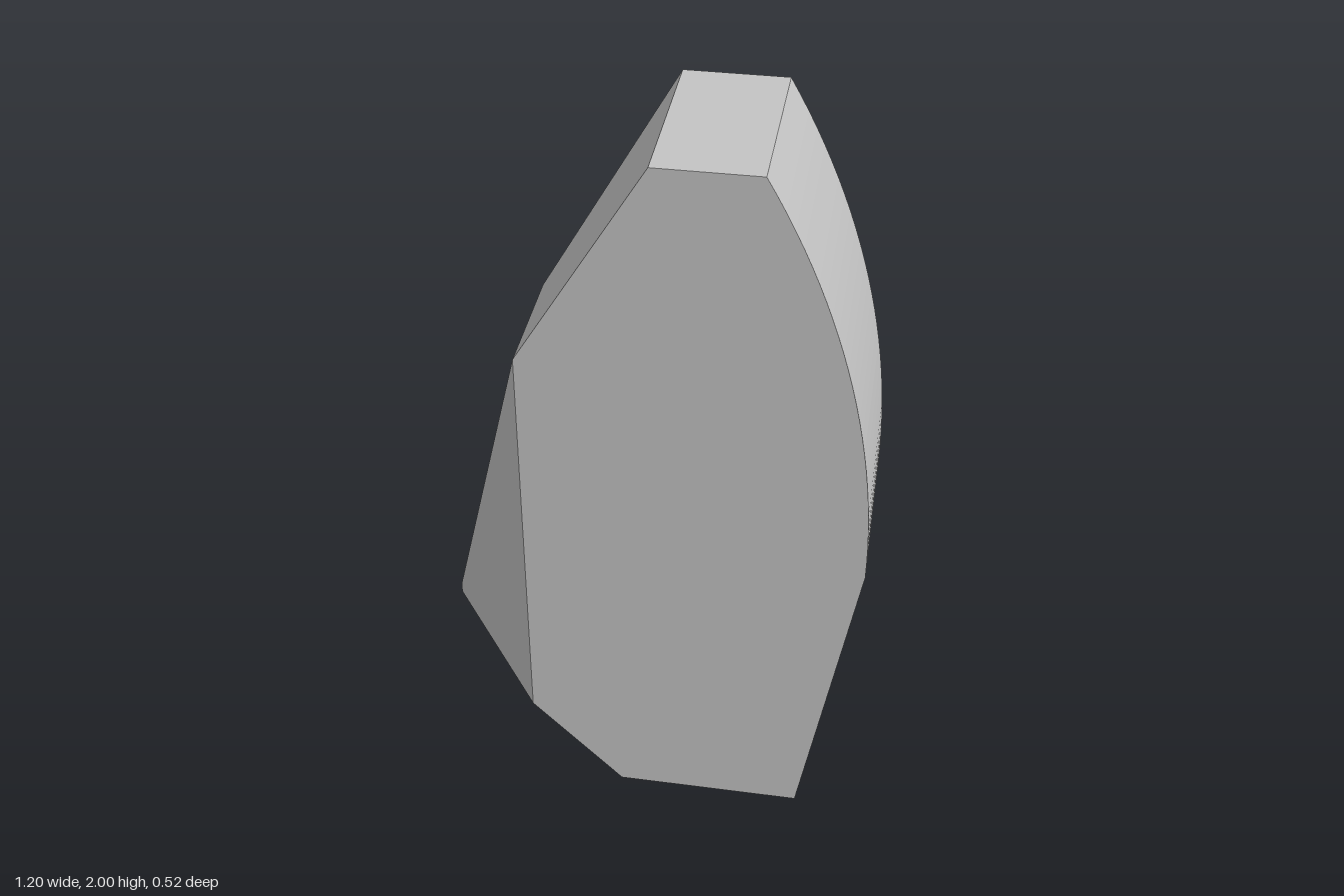
import * as THREE from 'three';
import { ConvexGeometry } from 'three/addons/geometries/ConvexGeometry.js';

const FRONT = 0.26, BACK = -0.26;

export function createModel() {
  const group = new THREE.Group();
  group.name = 'facetedStone';
  const stoneGrey = new THREE.MeshStandardMaterial({ color: 0xc4c4c4 });
  stoneGrey.name = 'stone grey';

  const points = [];
  const add = (x, y, ...depths) => depths.forEach((z) => points.push(new THREE.Vector3(x, y, z)));

  // Curved right edge, a shallow arc running the full depth
  const radius = 2.17, centreY = 0.9, steps = 24;
  const low = Math.asin((0.86 - centreY) / radius);
  const high = Math.asin((2 - centreY) / radius);
  for (let i = 0; i <= steps; i++) {
    const a = low + (high - low) * i / steps;
    add(0.6 - radius * (1 - Math.cos(a)), centreY + radius * Math.sin(a), FRONT, BACK);
  }

  // Flat top and upper left shoulder, with its bevelled back corner
  add(0.03, 2, FRONT, BACK);
  add(-0.31, 1.44, FRONT, -0.095);
  add(-0.235, 1.5, BACK);

  // Lower left tip and front corner
  add(-0.305, 0.26, FRONT);
  add(-0.6, 0.36, -0.1, BACK);
  add(-0.6, 0.33, -0.1);

  // Flat foot and the chamfer behind it
  add(0.455, 0, FRONT, -0.09);
  add(-0.05, 0, FRONT, -0.09);
  add(0.516, 0.36, BACK);
  add(-0.09, 0.08, BACK);

  const body = new THREE.Mesh(new ConvexGeometry(points), stoneGrey);
  body.name = 'stoneBody';
  group.add(body);
  return group;
}
